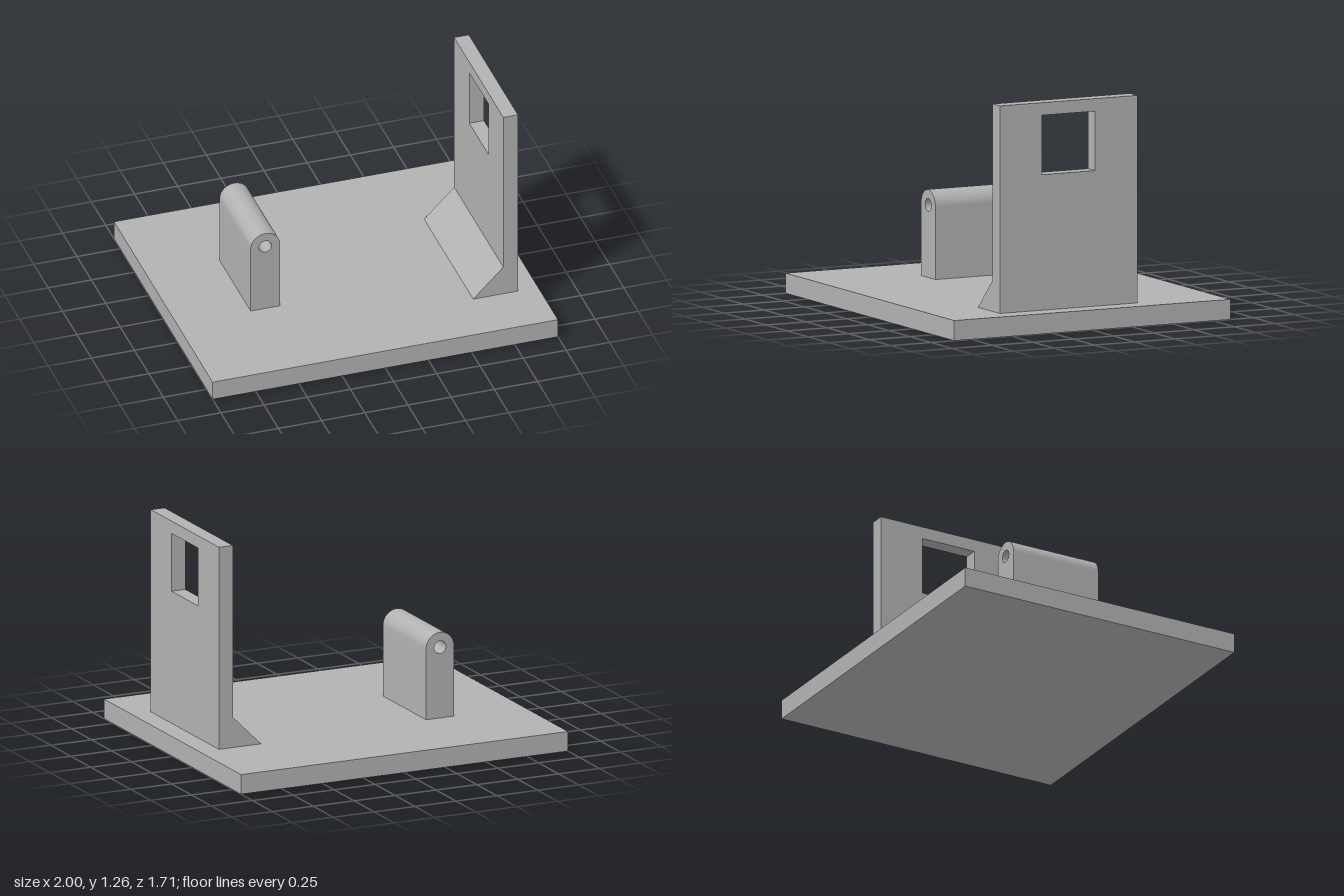
import * as THREE from 'three';
import { toCreasedNormals } from 'three/addons/utils/BufferGeometryUtils.js';

const PLATE_TOP = 0.112;

// Closed straight-sided outline from corner points
const outline = (points, Type = THREE.Shape) =>
  new Type(points.map(([x, y]) => new THREE.Vector2(x, y)));

const rect = (x0, x1, y0, y1, Type) =>
  outline([[x0, y0], [x1, y0], [x1, y1], [x0, y1]], Type);

const extrude = (shape, depth) =>
  new THREE.ExtrudeGeometry(shape, { depth, bevelEnabled: false, curveSegments: 32 });

export function createModel() {
  const group = new THREE.Group();
  group.name = 'bracketPlate';
  const grey = new THREE.MeshStandardMaterial({ color: 0xb2b2b2 });
  grey.name = 'grey';

  const add = (name, geometry) => {
    const mesh = new THREE.Mesh(geometry, grey);
    mesh.name = name;
    group.add(mesh);
  };

  // Base plate
  add('basePlate', new THREE.BoxGeometry(2, PLATE_TOP, 1.712).translate(0, PLATE_TOP / 2, 0));

  // Upright wall with a square window; drawn in (-z, y) and turned to face x
  const wall = rect(-0.512, 0.342, PLATE_TOP, 1.265);
  wall.holes.push(rect(-0.252, 0.078, 0.865, 1.195, THREE.Path));
  add('uprightWall', extrude(wall, 0.085).rotateY(Math.PI / 2).translate(0.798, 0, 0));

  // Sloped foot along the inner side of the wall
  const foot = outline([[0.624, PLATE_TOP], [0.798, PLATE_TOP], [0.798, 0.286]]);
  add('wallFoot', extrude(foot, 0.854).translate(0, 0, -0.342));

  // Round-topped lug with a through hole
  const cx = -0.489, cy = 0.516, r = 0.085;
  const lug = new THREE.Shape();
  lug.moveTo(cx - r, PLATE_TOP);
  lug.lineTo(cx + r, PLATE_TOP);
  lug.lineTo(cx + r, cy);
  lug.absarc(cx, cy, r, 0, Math.PI, false);
  lug.closePath();
  lug.holes.push(new THREE.Path().absarc(cx, cy, 0.036, 0, Math.PI * 2, true));
  add('hingeLug', toCreasedNormals(extrude(lug, 0.54).translate(0, 0, -0.301), 0.6));

  return group;
}
